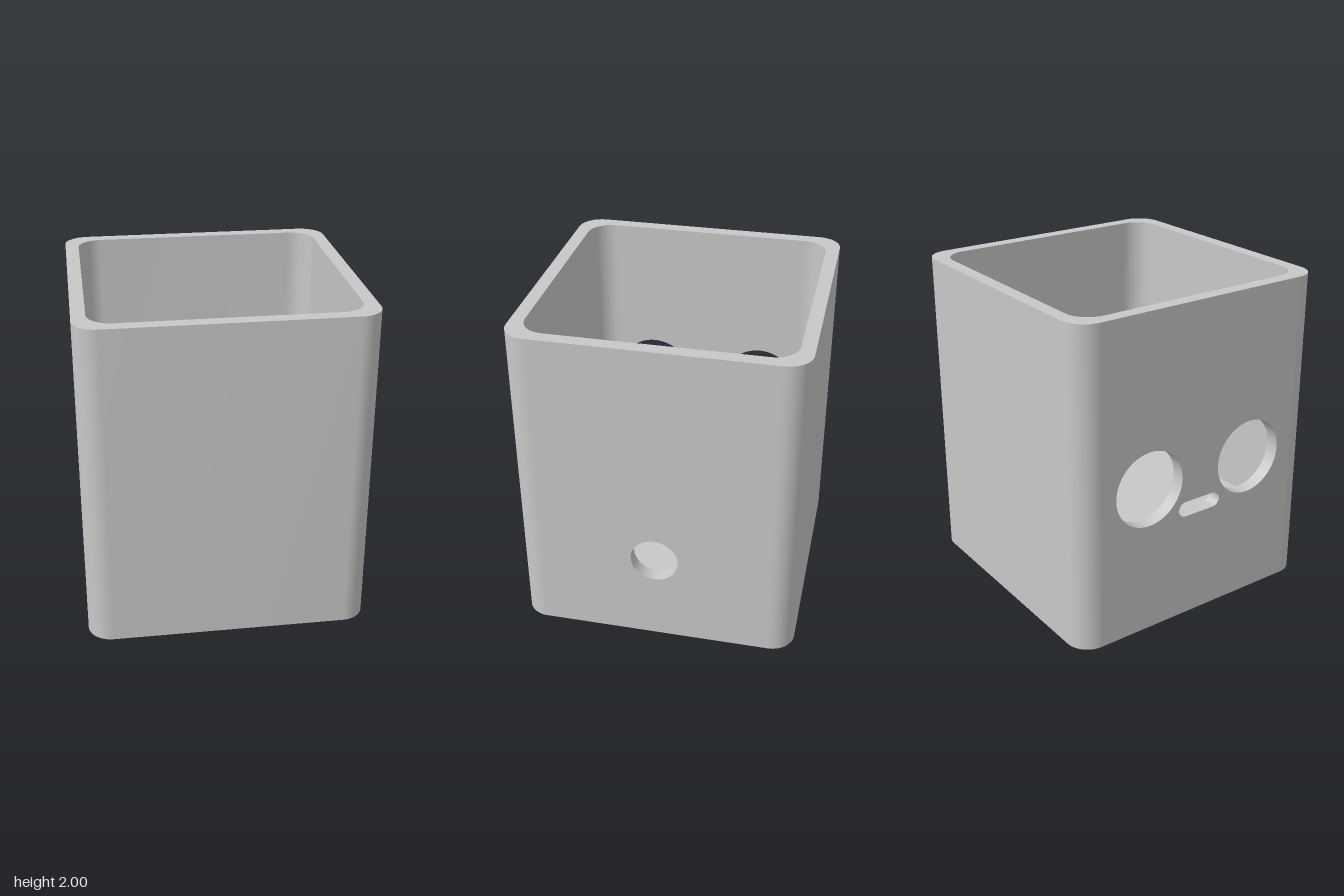
import * as THREE from 'three';
import { mergeGeometries, toCreasedNormals } from 'three/addons/utils/BufferGeometryUtils.js';

const HEIGHT = 2, FLOOR = 0.38, OUTER = 0.855, INNER = 0.772, RADIUS = 0.145;

// Points of an arc, counter-clockwise
function arc(cx, cy, r, from, to, n = 16) {
  return Array.from({ length: n + 1 }, (_, i) => {
    const a = from + ((to - from) * i) / n;
    return new THREE.Vector2(cx + r * Math.cos(a), cy + r * Math.sin(a));
  });
}
// Half of a rounded square: two corners and the flat between them
function halfSquare(half, turn = 0) {
  const c = half - RADIUS;
  const pts = [...arc(c, c, RADIUS, 0, Math.PI / 2), ...arc(-c, c, RADIUS, Math.PI / 2, Math.PI)];
  return pts.map((p) => p.rotateAround(new THREE.Vector2(), turn));
}
const roundedSquare = (half) => [...halfSquare(half), ...halfSquare(half, Math.PI)];
const rectangle = (x0, y0, x1, y1) =>
  [[x0, y0], [x1, y0], [x1, y1], [x0, y1]].map(([x, y]) => new THREE.Vector2(x, y));
const circle = (cx, cy, r) => arc(cx, cy, r, 0, Math.PI * 2, 64).slice(0, -1);
const slot = (cy, half, r) => [
  ...arc(half - r, cy, r, -Math.PI / 2, Math.PI / 2),
  ...arc(r - half, cy, r, Math.PI / 2, Math.PI * 1.5),
];

// Flat face with holes, facing +z
function face(points, holes = []) {
  const shape = new THREE.Shape(points);
  shape.holes = holes.map((h) => new THREE.Path(h));
  return new THREE.ShapeGeometry(shape).toNonIndexed();
}
// Open band swept along z from an outline; inward turns it inside out
function band(points, z0, z1, closed, inward) {
  const pos = [];
  const count = closed ? points.length : points.length - 1;
  for (let i = 0; i < count; i++) {
    let a = points[i], b = points[(i + 1) % points.length];
    if (inward) [a, b] = [b, a];
    pos.push(a.x, a.y, z0, b.x, b.y, z0, b.x, b.y, z1);
    pos.push(a.x, a.y, z0, b.x, b.y, z1, a.x, a.y, z1);
  }
  const g = new THREE.BufferGeometry();
  g.setAttribute('position', new THREE.Float32BufferAttribute(pos, 3));
  return toCreasedNormals(g, 0.6);
}
function join(list) {
  list.forEach((g) => g.deleteAttribute('uv'));
  return mergeGeometries(list);
}

export function createModel() {
  const group = new THREE.Group();
  const grey = new THREE.MeshStandardMaterial({ color: 0xc8c8c8 });
  grey.name = 'grey';
  const add = (name, geometry) => {
    const mesh = new THREE.Mesh(geometry, grey);
    mesh.name = name;
    group.add(mesh);
  };

  // Front and back walls with the rounded corners
  ['frontWall', 'backWall'].forEach((name, i) => {
    const turn = i ? 0 : Math.PI;
    add(name, join([
      band(halfSquare(OUTER, turn), 0, HEIGHT, false, false),
      band(halfSquare(INNER, turn), FLOOR, HEIGHT, false, true),
    ]).rotateX(-Math.PI / 2));
  });

  // Side walls pierced by openings (each layout is symmetric about the middle)
  function sideWall(name, angle, holes) {
    const o = OUTER - RADIUS, n = INNER - RADIUS;
    add(name, join([
      face(rectangle(-o, 0, o, HEIGHT), holes).translate(0, 0, OUTER),
      face(rectangle(-n, FLOOR, n, HEIGHT), holes).rotateY(Math.PI).translate(0, 0, INNER),
      ...holes.map((h) => band(h, INNER, OUTER, true, true)),
    ]).rotateY(angle));
  }
  sideWall('leftWall', Math.PI / 2, [circle(0, 0.575, 0.145)]);
  sideWall('rightWall', -Math.PI / 2, [
    circle(-0.37, 0.934, 0.236),
    circle(0.37, 0.934, 0.236),
    slot(0.723, 0.153, 0.048),
  ]);

  // Top rim and inner floor
  add('rim', face(roundedSquare(OUTER), [roundedSquare(INNER)])
    .rotateX(-Math.PI / 2).translate(0, HEIGHT, 0));
  add('floor', face(roundedSquare(INNER)).rotateX(-Math.PI / 2).translate(0, FLOOR, 0));

  // Underside with a small blind slot
  const pocket = rectangle(-0.07, -0.024, 0.07, 0.024), depth = 0.28;
  add('underside', face(roundedSquare(OUTER), [pocket]).rotateX(Math.PI / 2));
  add('undersideSlot', join([
    band(pocket, 0, depth, true, true).rotateX(-Math.PI / 2),
    face(pocket).rotateX(Math.PI / 2).translate(0, depth, 0),
  ]));
  return group;
}
